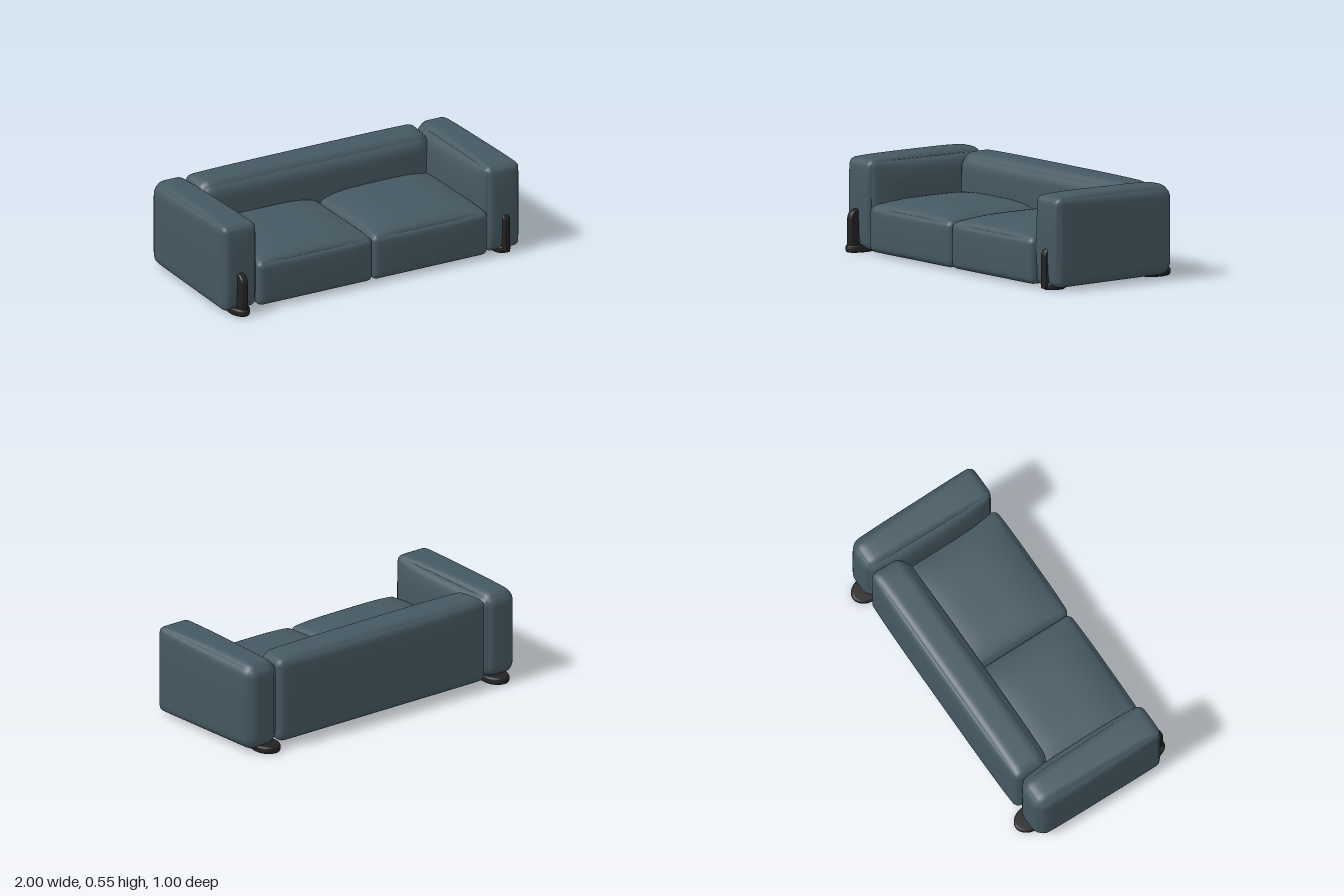
import * as THREE from 'three';
import { mergeVertices } from 'three/addons/utils/BufferGeometryUtils.js';

const fabric = new THREE.MeshStandardMaterial({ color: 0x455861 });
fabric.name = 'slate fabric';
const dark = new THREE.MeshStandardMaterial({ color: 0x222222 });
dark.name = 'black plastic';

// Rounded, stuffed block between two corners. The edge radius blends from back to front.
// bulge: how far each face swells at its middle, e.g. { 'x+': 0.01 }
function pillow(name, min, max, rFront, rBack, bulge) {
  const n = 28;
  let geo = new THREE.BoxGeometry(2, 2, 2, n, n, n);
  geo.deleteAttribute('normal');
  geo.deleteAttribute('uv');
  const pos = geo.attributes.position;
  const lo = new THREE.Vector3(...min), hi = new THREE.Vector3(...max);
  const mid = lo.clone().add(hi).multiplyScalar(0.5);
  const half = hi.clone().sub(lo).multiplyScalar(0.5);
  const t = new THREE.Vector3(), p = new THREE.Vector3(), core = new THREE.Vector3();
  const axes = ['x', 'y', 'z'];
  for (let i = 0; i < pos.count; i++) {
    t.fromBufferAttribute(pos, i);
    // crowd the grid towards the edges
    for (const a of axes) t[a] = Math.sign(t[a]) * (1 - (1 - Math.abs(t[a])) ** 2);
    p.copy(t).multiply(half);
    const r = THREE.MathUtils.lerp(rBack, rFront, (t.z + 1) / 2);
    for (const a of axes) core[a] = THREE.MathUtils.clamp(p[a], r - half[a], half[a] - r);
    p.sub(core).setLength(r).add(core);
    axes.forEach((a, k) => {
      if (Math.abs(t[a]) < 0.9999) return;
      const b = axes[(k + 1) % 3], c = axes[(k + 2) % 3];
      const amount = bulge[a + (t[a] > 0 ? '+' : '-')] || 0;
      p[a] += Math.sign(t[a]) * amount * (1 - t[b] ** 4) * (1 - t[c] ** 4);
    });
    p.add(mid);
    pos.setXYZ(i, p.x, p.y, p.z);
  }
  geo = mergeVertices(geo, 1e-5);
  geo.computeVertexNormals();
  const mesh = new THREE.Mesh(geo, fabric);
  mesh.name = name;
  return mesh;
}

// Oval foot pad with softened rims
function footPad(name, x, z, rx, rz) {
  const profile = [[0, 0], [0.88, 0], [0.96, 0.004], [1, 0.012], [1, 0.032], [0.95, 0.04], [0.86, 0.043], [0, 0.043]];
  const geo = new THREE.LatheGeometry(profile.map(([r, y]) => new THREE.Vector2(r, y)), 40);
  geo.scale(rx, 1, rz);
  const mesh = new THREE.Mesh(geo, dark);
  mesh.name = name;
  mesh.position.set(x, 0, z);
  return mesh;
}

// Upright fin rising from a front foot, with a rounded upper front corner
function footFin(name, x, zFront) {
  const w = 0.022, depth = 0.13;
  const s = new THREE.Shape();
  s.moveTo(0, 0.02);
  s.lineTo(depth, 0.02);
  s.lineTo(depth, 0.19);
  s.quadraticCurveTo(depth, 0.243, depth - 0.06, 0.243);
  s.lineTo(0, 0.243);
  s.closePath();
  const geo = new THREE.ExtrudeGeometry(s, {
    depth: 0.02, bevelEnabled: true, bevelThickness: w - 0.01, bevelSize: 0.01, bevelSegments: 4, curveSegments: 10,
  });
  geo.translate(-depth - 0.01, 0, -0.01);
  geo.rotateY(-Math.PI / 2);
  const mesh = new THREE.Mesh(geo, dark);
  mesh.name = name;
  mesh.position.set(x, 0, zFront);
  return mesh;
}

export function createModel() {
  const sofa = new THREE.Group();
  sofa.name = 'sofa';

  // Arms: the inner faces swell over the seat
  sofa.add(pillow('leftArm', [0.77, 0.016, -0.437], [0.992, 0.542, 0.415], 0.035, 0.075,
    { 'x+': 0.008, 'x-': 0.038, 'y+': 0.011, 'z+': 0.016, 'z-': 0.004 }));
  sofa.add(pillow('rightArm', [-0.992, 0.016, -0.437], [-0.77, 0.542, 0.415], 0.035, 0.075,
    { 'x-': 0.008, 'x+': 0.038, 'y+': 0.011, 'z+': 0.016, 'z-': 0.004 }));

  // Backrest
  sofa.add(pillow('backrest', [-0.768, 0.018, -0.44], [0.768, 0.538, -0.2], 0.09, 0.05,
    { 'y+': 0.008, 'z-': 0.016, 'z+': 0.012 }));

  // Two seat cushions meeting at the centre
  sofa.add(pillow('leftSeat', [0, 0.013, -0.3], [0.768, 0.285, 0.437], 0.035, 0.03, { 'y+': 0.056, 'z+': 0.012 }));
  sofa.add(pillow('rightSeat', [-0.768, 0.013, -0.3], [0, 0.285, 0.437], 0.035, 0.03, { 'y+': 0.056, 'z+': 0.012 }));

  // Feet
  sofa.add(footPad('backLeftFoot', 0.845, -0.4, 0.077, 0.102));
  sofa.add(footPad('backRightFoot', -0.848, -0.4, 0.077, 0.102));
  sofa.add(footPad('frontLeftFoot', 0.885, 0.365, 0.056, 0.072));
  sofa.add(footPad('frontRightFoot', -0.89, 0.398, 0.058, 0.102));
  sofa.add(footFin('frontLeftFin', 0.885, 0.451));
  sofa.add(footFin('frontRightFin', -0.888, 0.487));

  // Small glides under the backrest
  for (const x of [-0.62, 0.62]) {
    const glide = new THREE.Mesh(new THREE.CylinderGeometry(0.015, 0.015, 0.012, 16), fabric);
    glide.name = 'glide';
    glide.position.set(x, 0.014, -0.34);
    sofa.add(glide);
  }
  return sofa;
}
